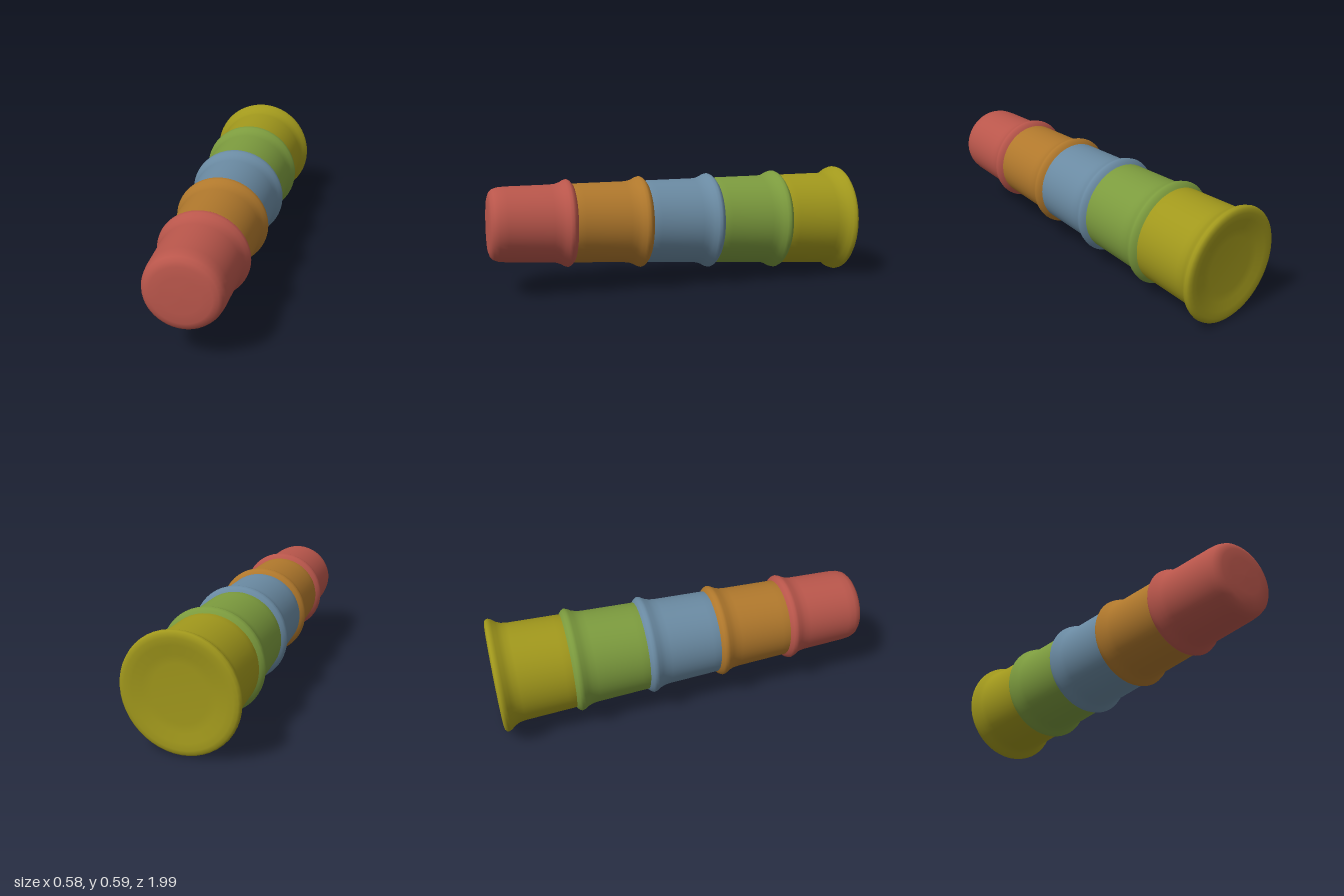
import * as THREE from 'three';

const SIDES = 48;
const RIM = 0.025;

// Straight outer wall of the leaning, tapered stack at depth z
function wall(z) {
  const d = 0.95 - z;
  const left = -0.255, right = 0.135 + 0.061 * d;
  const top = 0.558, bottom = 0.176 - 0.073 * d;
  return {
    cx: (left + right) / 2, cy: (top + bottom) / 2,
    rx: (right - left) / 2, ry: (top - bottom) / 2,
  };
}

// Skin of rings; each ring is [z, offset from the wall], offset null closes to the centre
function skin(rings) {
  const pos = [], index = [];
  rings.forEach(([z, off], i) => {
    const { cx, cy, rx, ry } = wall(z);
    for (let j = 0; j < SIDES; j++) {
      const a = (j / SIDES) * Math.PI * 2;
      const dx = off === null ? 0 : (rx + off) * Math.cos(a);
      const dy = off === null ? 0 : (ry + off) * Math.sin(a);
      // Rings tilt to stay square to the leaning axis
      pos.push(cx + dx, cy + dy, z + 0.04 * dx - 0.03 * dy);
      if (i === 0) continue;
      const k = (j + 1) % SIDES, p = (i - 1) * SIDES, q = i * SIDES;
      index.push(p + j, q + j, p + k, q + j, q + k, p + k);
    }
  });
  const geo = new THREE.BufferGeometry();
  geo.setAttribute('position', new THREE.Float32BufferAttribute(pos, 3));
  geo.setIndex(index);
  geo.computeVertexNormals();
  return geo;
}

export function createModel() {
  const group = new THREE.Group();
  const cups = [
    ['redCup', 0xb9564b, 0.585],
    ['orangeCup', 0xb0782c, 0.195],
    ['blueCup', 0x6a8aa2, -0.19],
    ['greenCup', 0x7c9b3e, -0.58],
    ['yellowCup', 0xa1981c, -0.965],
  ];
  let start = 0;
  cups.forEach(([name, color, rim], i) => {
    const first = i === 0, last = i === cups.length - 1;
    // Rounded closed end on the smallest cup, tucked start on the others
    const rings = first
      ? [[0.991, null], [0.99, -0.1], [0.987, -0.05], [0.979, -0.026], [0.964, -0.011], [0.94, -0.003], [0.9, 0]]
      : [[start + 0.02, -0.006], [start, 0], [start - 0.04, 0]];
    // Flared lip
    const lip = last ? 0.035 : RIM;
    rings.push([rim + 0.09, 0], [rim + 0.06, 0.1 * lip], [rim + 0.035, 0.4 * lip],
      [rim + 0.015, 0.85 * lip], [rim, lip]);
    if (last) {
      // Rolled edge and shallow dished base
      rings.push([rim - 0.011, 0.032], [rim - 0.019, 0.022], [rim - 0.022, 0.003],
        [rim - 0.019, -0.03], [rim - 0.01, -0.075], [rim - 0.006, -0.12], [rim - 0.006, null]);
    } else {
      rings.push([rim - 0.012, 0.75 * lip], [rim - 0.022, 0.3 * lip], [rim - 0.03, -0.004]);
    }
    const mesh = new THREE.Mesh(skin(rings),
      new THREE.MeshStandardMaterial({ color, side: THREE.DoubleSide }));
    mesh.name = name;
    group.add(mesh);
    start = rim - 0.028;
  });
  return group;
}
